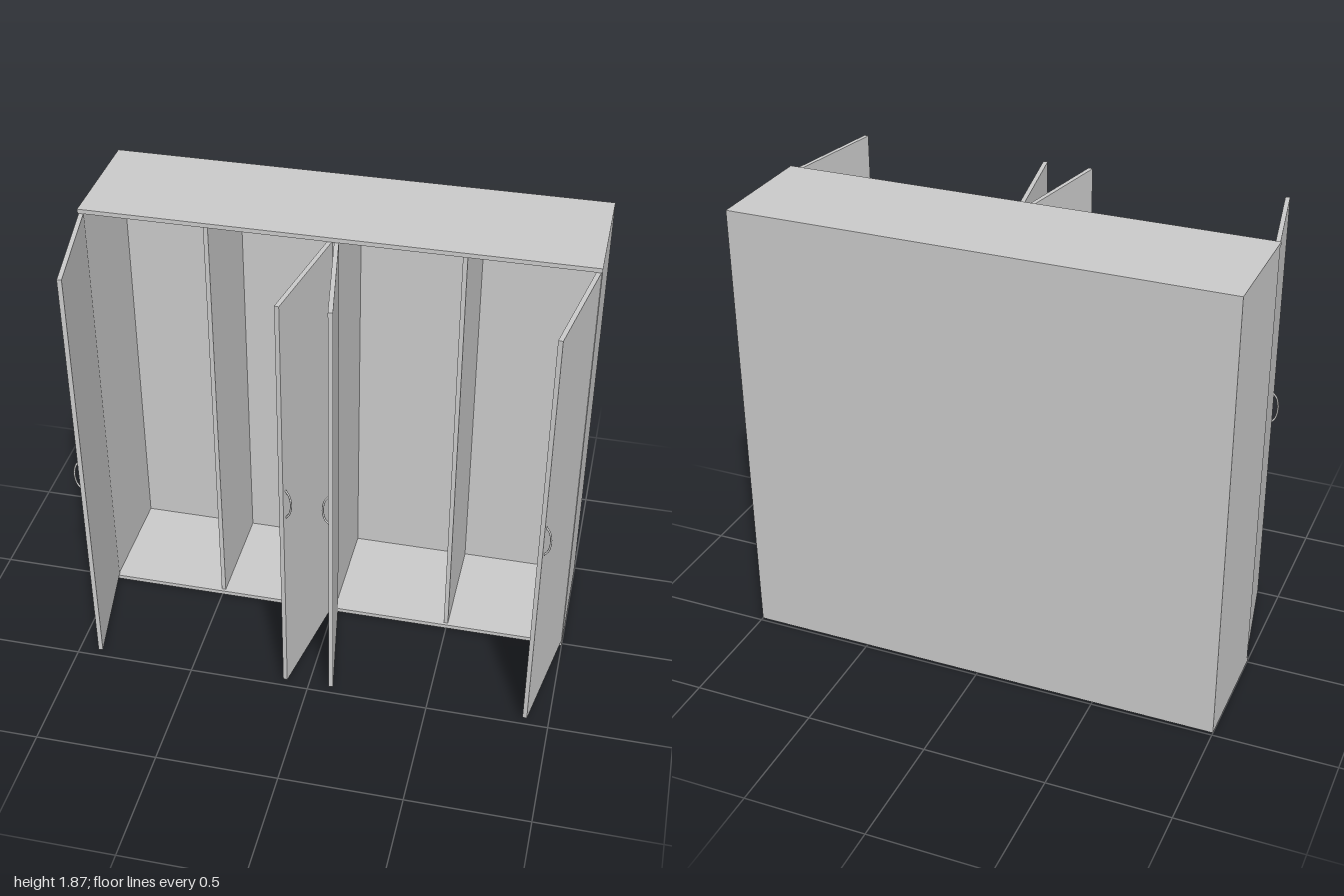
import * as THREE from 'three';

const H = 1.873, T = 0.018;            // overall height, board thickness
const BACK = -0.486, LIP = 0.013;      // back plane, front of top and bottom boards
const DOOR_W = 0.491, TILT = THREE.MathUtils.degToRad(10);

const material = new THREE.MeshStandardMaterial({ color: 0xcccccc });

// Box given by its minimum and maximum corners
function board(name, [x0, y0, z0], [x1, y1, z1]) {
  const mesh = new THREE.Mesh(new THREE.BoxGeometry(x1 - x0, y1 - y0, z1 - z0), material);
  mesh.position.set((x0 + x1) / 2, (y0 + y1) / 2, (z0 + z1) / 2);
  mesh.name = name;
  return mesh;
}

// Bowed bar handle standing off the outer (-x) face
function handle() {
  const curve = new THREE.CatmullRomCurve3([
    [0.002, -0.068], [-0.014, -0.045], [-0.022, 0], [-0.014, 0.045], [0.002, 0.068],
  ].map(([x, y]) => new THREE.Vector3(x, y, 0)));
  const mesh = new THREE.Mesh(new THREE.TubeGeometry(curve, 24, 0.004, 8), material);
  mesh.name = 'handle';
  return mesh;
}

// Open door: hinge at the group origin, outer face on the side given by -side
function door(name, hingeX, side) {
  const group = new THREE.Group();
  group.name = name;
  const gap = 0.002;
  const x0 = side > 0 ? 0 : -T;
  group.add(board('doorPanel', [x0, T + gap, 0], [x0 + T, H - T + 0.001 - gap, DOOR_W]));
  const grip = handle();
  grip.position.set(0, 0.943, DOOR_W - 0.024);
  if (side < 0) grip.rotation.y = Math.PI;
  group.add(grip);
  group.position.set(hingeX, 0, 0.003);
  group.rotation.y = side * TILT;
  return group;
}

export function createModel() {
  const model = new THREE.Group();
  model.name = 'wardrobe';

  // Carcass
  model.add(
    board('bottomBoard', [-1, 0, BACK], [1, T, LIP]),
    board('topBoard', [-1, H - T, BACK], [1, H, LIP]),
    board('backPanel', [-1, T, BACK], [1, H - T, BACK + T]),
  );

  // Side panels and inner partitions
  const uprights = [
    ['rightSide', -1 + T / 2], ['rightPartition', -0.497], ['centrePartition', 0],
    ['leftPartition', 0.497], ['leftSide', 1 - T / 2],
  ];
  for (const [name, x] of uprights) {
    const z0 = name.endsWith('Side') ? BACK : BACK + T;
    model.add(board(name, [x - T / 2, T, z0], [x + T / 2, H - T, 0]));
  }

  // Two pairs of doors, each pair leaning towards its own middle
  model.add(
    door('rightOuterDoor', -0.997, 1),
    door('rightInnerDoor', -0.003, -1),
    door('leftInnerDoor', 0.003, 1),
    door('leftOuterDoor', 0.997, -1),
  );
  return model;
}
